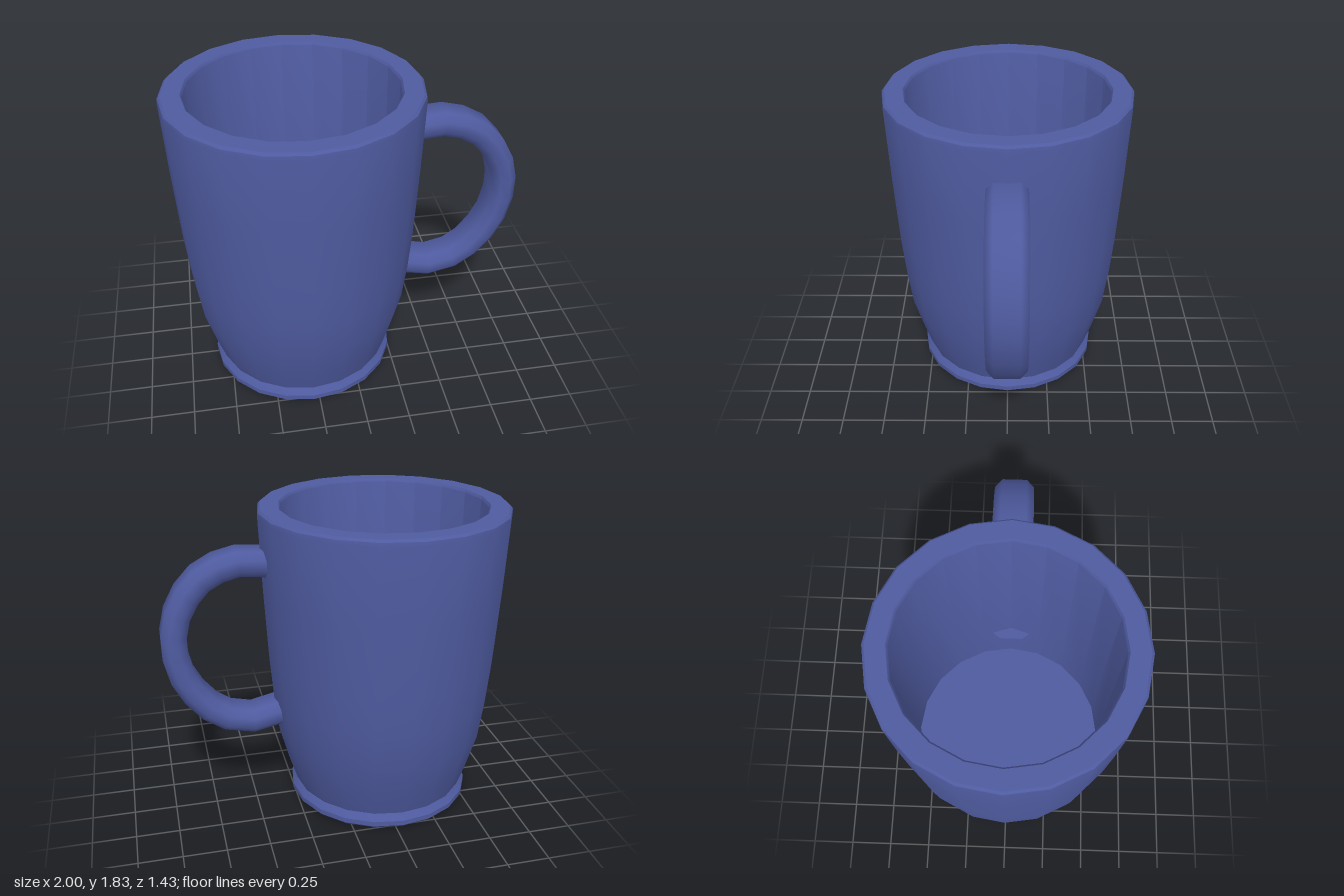
import * as THREE from 'three';
import { toCreasedNormals } from 'three/addons/utils/BufferGeometryUtils.js';

const v2 = (p) => new THREE.Vector2(p[0], p[1]);

// Sweep an octagonal section (wide in z) along a path in the xy plane, closed at both ends
function sweepHandle(path, section) {
  const n = section.length, pos = [], idx = [];
  path.forEach((p, i) => {
    const a = path[Math.max(i - 1, 0)], b = path[Math.min(i + 1, path.length - 1)];
    const t = b.clone().sub(a).normalize();
    for (const [s, z] of section) pos.push(p.x - t.y * s, p.y + t.x * s, z);
  });
  for (let i = 0; i < path.length - 1; i++) {
    for (let j = 0; j < n; j++) {
      const a = i * n + j, b = i * n + (j + 1) % n;
      idx.push(a, b, a + n, b, b + n, a + n);
    }
  }
  const last = (path.length - 1) * n;
  for (let j = 1; j < n - 1; j++) {
    idx.push(0, j + 1, j);
    idx.push(last, last + j, last + j + 1);
  }
  const g = new THREE.BufferGeometry();
  g.setAttribute('position', new THREE.Float32BufferAttribute(pos, 3));
  g.setIndex(idx);
  return toCreasedNormals(g, 1.1);
}

export function createModel() {
  const model = new THREE.Group();
  model.name = 'mug';
  const glaze = new THREE.MeshStandardMaterial({ color: 0x4f5ba0 });

  // Cup: foot, outer wall, rim, inner wall and floor in one turned profile
  const profile = [
    [0, 0], [0.5, 0], [0.53, 0.01], [0.55, 0.03], [0.55, 0.06], [0.522, 0.1],
    [0.567, 0.24], [0.627, 0.46], [0.655, 0.69], [0.675, 0.93], [0.698, 1.35],
    [0.716, 1.79], [0.713, 1.812], [0.7, 1.825],
    [0.595, 1.825], [0.585, 1.81], [0.57, 0.3], [0, 0.3],
  ].map(v2);
  const cup = new THREE.Mesh(toCreasedNormals(new THREE.LatheGeometry(profile, 20), 0.6), glaze);
  cup.name = 'cup';
  cup.position.x = -0.284;
  model.add(cup);

  // Handle: ends sunk into the wall
  const path = [
    [0.33, 1.52], [0.42, 1.543], [0.555, 1.552], [0.665, 1.525], [0.765, 1.47],
    [0.845, 1.383], [0.905, 1.272], [0.933, 1.155], [0.932, 1.03], [0.9, 0.895],
    [0.84, 0.78], [0.755, 0.678], [0.653, 0.608], [0.505, 0.575], [0.35, 0.61], [0.28, 0.64],
  ].map(v2);
  const section = [
    [0.072, -0.07], [0.072, 0.07], [0.03, 0.112], [-0.03, 0.112],
    [-0.072, 0.07], [-0.072, -0.07], [-0.03, -0.112], [0.03, -0.112],
  ];
  const handle = new THREE.Mesh(sweepHandle(path, section), glaze);
  handle.name = 'handle';
  model.add(handle);

  return model;
}
